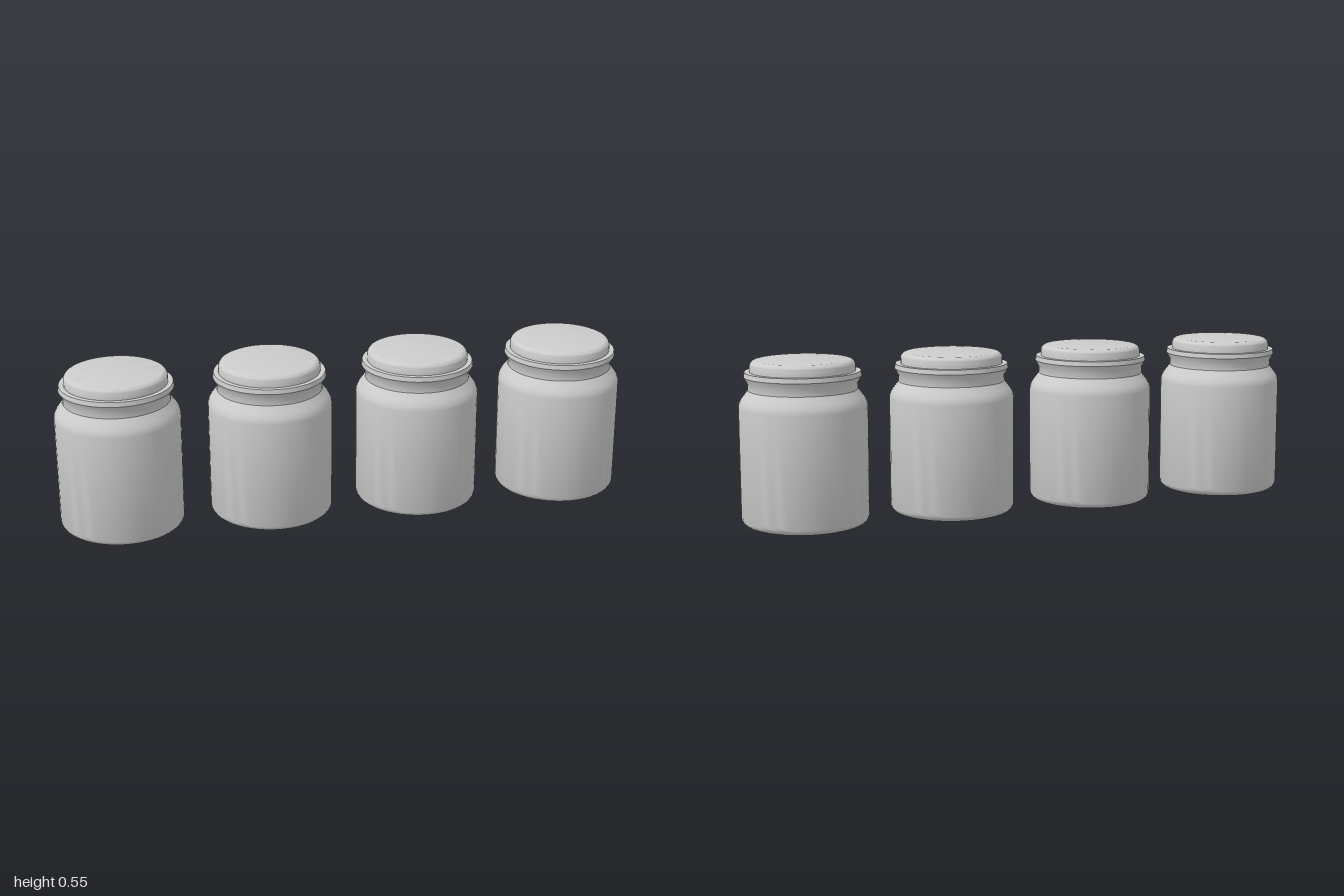
import * as THREE from 'three';
import { toCreasedNormals } from 'three/addons/utils/BufferGeometryUtils.js';

const SEGMENTS = 48;

// Revolve an [radius, height] profile, keeping sharp edges crisp
function turned(profile) {
  const points = profile.map(([r, y]) => new THREE.Vector2(r, y));
  return toCreasedNormals(new THREE.LatheGeometry(points, SEGMENTS), 0.6);
}

// Quarter-round corner points between two angles
function corner(cx, cy, rx, ry, from, to, steps = 5) {
  return Array.from({ length: steps + 1 }, (_, i) => {
    const a = from + ((to - from) * i) / steps;
    return [cx + rx * Math.cos(a), cy + ry * Math.sin(a)];
  });
}

export function createModel() {
  const model = new THREE.Group();
  model.name = 'jarRow';
  const material = new THREE.MeshStandardMaterial({ color: 0xcccccc });

  // Body: flat base, rounded foot, straight wall, sloping shoulder
  const bodyGeometry = turned([
    [0, 0],
    ...corner(0.184, 0.03, 0.03, 0.03, -Math.PI / 2, 0),
    [0.214, 0.398], [0.2125, 0.407], [0.209, 0.416], [0.204, 0.425], [0.198, 0.433],
    [0.182, 0.454],
  ]);

  // Neck: short upright collar that flares out under the rim
  const neckGeometry = turned([
    [0.182, 0.454], [0.182, 0.475], [0.195, 0.499],
  ]);

  // Rim: slightly tapered band with a flat ledge
  const rimGeometry = turned([
    [0.195, 0.499], [0.192, 0.515], [0.17, 0.515],
  ]);

  // Lid: low disc with a rounded top edge
  const lidGeometry = turned([
    [0.175, 0.515],
    ...corner(0.155, 0.533, 0.02, 0.02, 0, Math.PI / 2),
    [0, 0.553],
  ]);

  const parts = { body: bodyGeometry, neck: neckGeometry, rim: rimGeometry, lid: lidGeometry };

  // Four identical jars in a row
  for (let i = 0; i < 4; i++) {
    const jar = new THREE.Group();
    jar.name = `jar${i + 1}`;
    jar.position.x = (i - 1.5) * 0.524;
    for (const [name, geometry] of Object.entries(parts)) {
      const mesh = new THREE.Mesh(geometry, material);
      mesh.name = name;
      jar.add(mesh);
    }
    model.add(jar);
  }
  return model;
}
